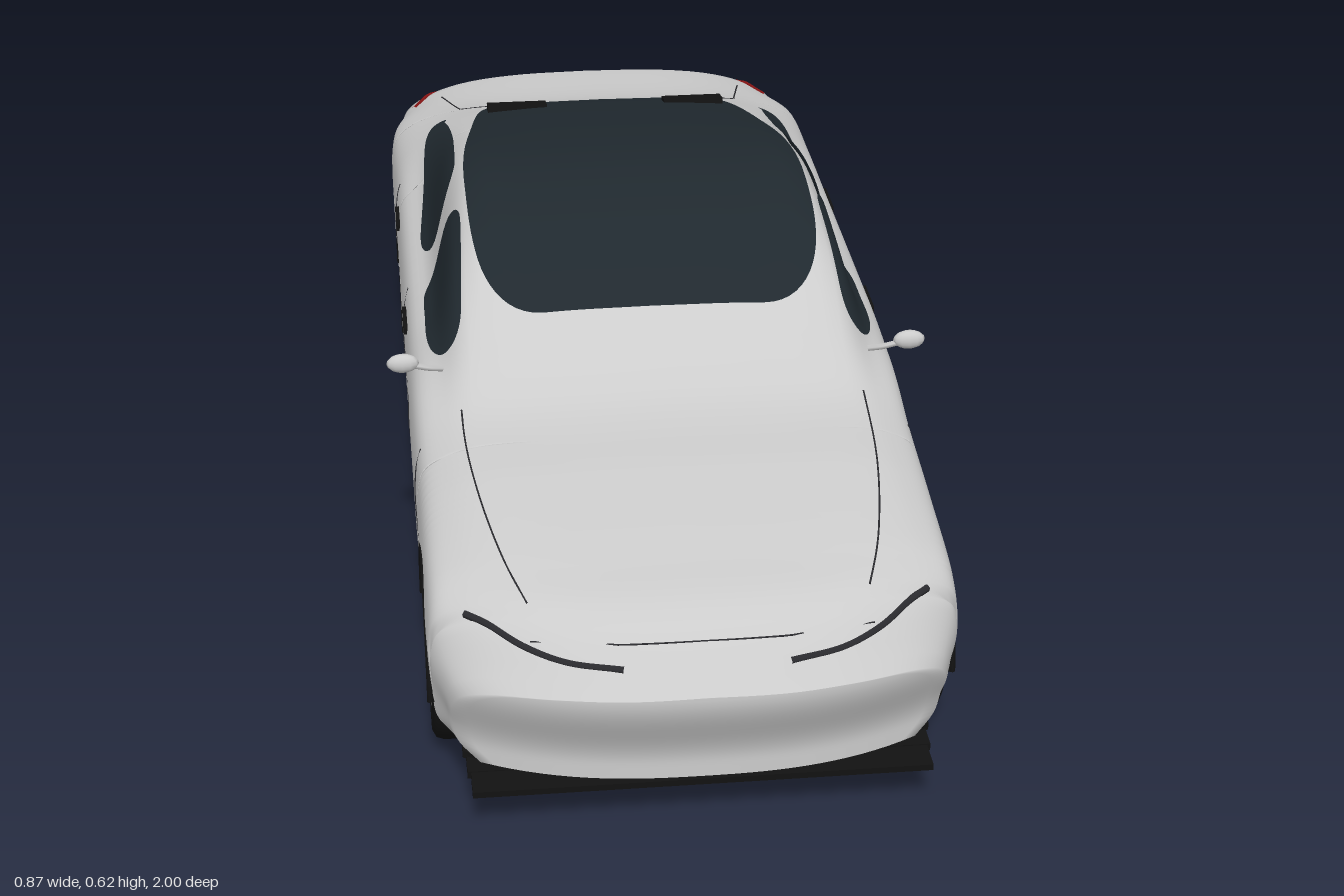
import * as THREE from 'three';
import { mergeGeometries, mergeVertices } from 'three/addons/utils/BufferGeometryUtils.js';

const paint = (color, side = THREE.FrontSide) => new THREE.MeshStandardMaterial({ color, side });
const BODY = paint(0xcccccc, THREE.DoubleSide), GLASS = paint(0x20292f, THREE.DoubleSide);
const BLACK = paint(0x121212, THREE.DoubleSide), DARK = paint(0x2c2c30), RED = paint(0x8a1515);
const RIM = paint(0x77777a), RIM_BACK = paint(0x4a4a4e);
const V = (x, y, z) => new THREE.Vector3(x, y, z);
const { smoothstep: smooth, clamp, lerp } = THREE.MathUtils;
const AXLES = [0.65, -0.58], HUB = 0.145, ARCH = 0.154, SILL = 0.085;

// Body stations: z, half width, side y, shoulder y, belt y, roof edge x, roof edge y, centre y
const STATIONS = [
  [-1, .375, .35, .38, .40, .26, .415, .428],
  [-.8, .397, .365, .405, .43, .27, .445, .452],
  [-.6, .398, .365, .415, .455, .285, .495, .515],
  [-.4, .398, .36, .415, .45, .285, .545, .565],
  [-.2, .398, .36, .415, .45, .29, .59, .605],
  [-.05, .398, .36, .415, .45, .29, .602, .616],
  [.1, .398, .36, .415, .45, .295, .575, .592],
  [.2, .398, .36, .41, .45, .30, .53, .547],
  [.3, .398, .35, .40, .43, .30, .47, .485],
  [.42, .397, .32, .375, .40, .30, .415, .425],
  [.6, .396, .30, .352, .378, .29, .393, .40],
  [.8, .395, .27, .32, .342, .27, .358, .366],
  [.92, .39, .24, .28, .305, .25, .325, .335],
  [1, .365, .19, .22, .24, .22, .25, .255]];

// Smooth blend of the station values at s
function station(s) {
  const T = STATIONS, n = T.length - 1;
  let i = 0;
  while (i < n - 1 && s > T[i + 1][0]) i++;
  const h = T[i + 1][0] - T[i][0], t = (s - T[i][0]) / h;
  const slope = (k, c) => {
    const a = T[Math.max(k - 1, 0)], b = T[Math.min(k + 1, n)];
    return (b[c] - a[c]) / (b[0] - a[0]);
  };
  return T[i].map((a, c) => {
    const b = T[i + 1][c], m0 = slope(i, c) * h, m1 = slope(i + 1, c) * h;
    return a + m0 * t + (3 * (b - a) - 2 * m0 - m1) * t * t + (2 * (a - b) + m0 + m1) * t ** 3;
  });
}

// Half cross-section from sill to roof centre
const cache = new Map();
function section(s) {
  if (!cache.has(s)) {
    const [, w, ya, by, cy, dx, dy, top] = station(s);
    const pts = [V(w - .04, SILL, 0), V(w - .008, .115, 0), V(w - .002, (.115 + ya) / 2, 0), V(w, ya, 0),
      V(w - .012, by, 0), V(w - .05, cy, 0), V(dx, dy, 0), V(dx * .55, top - .003, 0), V(0, top, 0)];
    cache.set(s, new THREE.CatmullRomCurve3(pts).getPoints(96));
  }
  return cache.get(s);
}
const indexAt = (p, test) => Math.max(1, p.findIndex(test));
function xAt(s, y) {
  const p = section(s), i = indexAt(p, q => q.y >= y), a = p[i - 1], b = p[i];
  return lerp(a.x, b.x, clamp((y - a.y) / (b.y - a.y), 0, 1));
}
function yAt(s, x) {
  const p = section(s), ax = Math.abs(x), i = indexAt(p, (q, k) => k > 48 && q.x <= ax + 1e-6);
  const a = p[i - 1], b = p[i];
  return lerp(a.y, b.y, clamp((ax - a.x) / (b.x - a.x), 0, 1));
}

// Bows the nose and tail in plan and leans them in profile
function warp(x, y, s) {
  const u = Math.abs(x) / .39;
  const nose = .11 * u ** 2.6 + .05 * smooth(.25 - y, 0, .14);
  const tail = .07 * u ** 4 + .1 * Math.max(0, .43 - y);
  return V(x, y, s - smooth(s, .75, 1) * nose + smooth(-s, .75, 1) * tail);
}
// First surface point met from the nose (dir 1) or tail (dir -1)
function endPoint(x, y, dir) {
  let s = 1;
  while (s > .7 && (Math.abs(x) > station(s * dir)[1] || yAt(s * dir, x) < y)) s -= .004;
  return warp(x, y, s * dir);
}

function grid(rows, cols, fn) {
  const pos = [], idx = [];
  for (let i = 0; i <= rows; i++) for (let j = 0; j <= cols; j++) pos.push(...fn(i, j).toArray());
  for (let i = 0; i < rows; i++) for (let j = 0; j < cols; j++) {
    const a = i * (cols + 1) + j, b = a + cols + 1;
    idx.push(a, a + 1, b, a + 1, b + 1, b);
  }
  const g = new THREE.BufferGeometry();
  g.setAttribute('position', new THREE.Float32BufferAttribute(pos, 3));
  g.setIndex(idx);
  g.computeVertexNormals();
  return g;
}

function bodyShell() {
  const N = 36, list = [];
  for (let i = 0; i <= 110; i++) list.push(-1 + i / 55);
  for (const a of AXLES) for (let k = 0; k <= 32; k++) list.push(a + ARCH * Math.cos(k * Math.PI / 32));
  list.sort((a, b) => a - b);
  // Each half section starts at the sill or at the wheel arch
  const halves = list.map(s => {
    const p = section(s), z = warp(p[20].x, .15, s).z;
    let y0 = SILL;
    for (const a of AXLES) if (Math.abs(z - a) < ARCH) y0 = Math.max(y0, HUB + Math.sqrt(ARCH ** 2 - (z - a) ** 2));
    const i = indexAt(p, q => q.y >= y0), t0 = i - 1 + (y0 - p[i - 1].y) / (p[i].y - p[i - 1].y);
    return Array.from({ length: N + 1 }, (_, j) => {
      const t = lerp(t0, 96, j / N), k = Math.min(95, Math.floor(t));
      return p[k].clone().lerp(p[k + 1], t - k);
    });
  });
  const skin = grid(list.length - 1, 2 * N, (i, j) => {
    const q = halves[i][j <= N ? j : 2 * N - j];
    return warp(j <= N ? q.x : -q.x, q.y, list[i]);
  });
  const cap = (half, dir) => grid(N, 30, (i, k) => warp(half[i].x * (k / 15 - 1) * dir, half[i].y, dir));
  const all = mergeGeometries([skin, cap(halves.at(-1), 1), cap(halves[0], -1)]);
  all.deleteAttribute('normal');
  const g = mergeVertices(all, 1e-5);
  g.computeVertexNormals();
  return g;
}

export function createModel() {
  const car = new THREE.Group();
  const add = (name, geo, mat, x = 0, y = 0, z = 0, parent = car) => {
    const m = new THREE.Mesh(geo, mat);
    m.name = name;
    m.position.set(x, y, z);
    parent.add(m);
    return m;
  };
  const box = (name, w, h, d, mat, x, y, z) => add(name, new THREE.BoxGeometry(w, h, d), mat, x, y, z);
  const line = (name, pts, r, mat) =>
    add(name, new THREE.TubeGeometry(new THREE.CatmullRomCurve3(pts), 32, r, 5), mat);
  const span = (n, fn) => Array.from({ length: n + 1 }, (_, i) => fn(i / n));

  add('body', bodyShell(), BODY);

  // Floor following the sill outline, with a tray and splitter below it
  const outline = [...span(20, t => warp(lerp(-.35, .35, t), SILL, .99)), ...span(20, t => warp(lerp(.35, -.35, t), SILL, -.99))];
  const floor = new THREE.ExtrudeGeometry(new THREE.Shape(outline.map(p => new THREE.Vector2(p.x, p.z))), { depth: .012, bevelEnabled: false });
  add('floor', floor.rotateX(Math.PI / 2), BLACK, 0, .09, 0);
  box('underTray', .69, .012, 1.74, BLACK, 0, .076, .03);
  box('frontSplitter', .68, .01, .06, BLACK, 0, .075, .92);

  // One glass panel for windscreen, roof and rear window
  add('roofGlass', grid(48, 32, (i, j) => {
    const u = -Math.cos(i * Math.PI / 48), z = -.215 + .475 * u;
    const w = (.288 - .045 * smooth(-z, .05, .65)) * (.62 + .38 * (1 - Math.abs(u) ** 7) ** .45);
    const x = w * (1 - j / 16);
    return V(x, yAt(z, x) + .005, z);
  }), GLASS);

  for (const sx of [1, -1]) {
    // Side windows
    for (const [name, z0, z1] of [['rearSideWindow', -.63, -.085], ['frontSideWindow', -.015, .275]])
      add(name, grid(30, 12, (i, j) => {
        const u = -Math.cos(i * Math.PI / 30), z = (z0 + z1) / 2 + u * (z1 - z0) / 2;
        const lo = .437 + .035 * smooth(-z, .1, .65), hi = Math.max(station(z)[6] - .002, lo + .02);
        const r = (1 - Math.abs(u) ** 8) ** .45, y = (lo + hi) / 2 + (hi - lo) / 2 * r * (j / 6 - 1);
        return V(sx * (xAt(z, y) + .005), y + .001, z);
      }), GLASS);

    // Shut lines, handles, lamps, mirror
    const side = (z, y) => V(sx * xAt(z, y), y, z), top = (z, x) => warp(sx * x, yAt(z, x), z);
    for (const [za, ya, zb, yb] of [[.435, .37, .465, .13], [-.065, .41, -.03, .13], [-.51, .41, -.485, .31]])
      line('doorSeam', span(8, t => side(lerp(za, zb, t), lerp(ya, yb, t))), .0015, DARK);
    line('hoodSeam', span(12, t => top(lerp(.4, .88, t), .32 - .07 * t * t)), .0015, DARK);
    line('trunkSeam', span(8, t => top(lerp(-.74, -.92, t), .265 + .03 * t)), .0015, DARK);
    for (const z of [.01, -.41]) box('doorHandle', .012, .011, .085, BLACK, sx * xAt(z, .385), .385, z);
    const lamp = [[.34, .32], [.31, .317], [.26, .302], [.2, .29], [.12, .286]];
    line('headlight', lamp.map(([x, y]) => endPoint(sx * x, y, 1)), .006, DARK);
    line('tailLightEnd', span(4, t => endPoint(sx * lerp(.29, .35, t), .402, -1)), .005, RED);
    add('mirror', new THREE.SphereGeometry(1, 12, 8), BODY, sx * .408, .46, .315).scale.set(.026, .016, .012);
    line('mirrorStalk', [V(sx * .345, .44, .3), V(sx * .366, .447, .31), V(sx * .39, .455, .315)], .005, BODY);
    box('rearVent', .11, .012, .045, BLACK, sx * .165, yAt(-.59, .165) + .008, -.59).rotation.x = -.22;
    add('rearReflector', new THREE.SphereGeometry(.01, 10, 8), RED, sx * .235, .11, -.965);
  }
  line('tailLight', span(20, t => endPoint(lerp(-.29, .29, t), .402, -1)), .003, RED);
  line('trunkFrontSeam', span(16, t => top0(-.74, lerp(-.265, .265, t))), .0015, DARK);
  line('hoodFrontSeam', span(16, t => { const x = lerp(-.25, .25, t); return endPoint(x, .315 - .1 * x * x, 1); }), .0015, DARK);

  // Rear diffuser
  box('diffuserBar', .5, .01, .03, BLACK, 0, .105, -.955);
  box('diffuserTopBar', .3, .012, .02, BLACK, 0, .148, -.963);
  for (let i = -3; i <= 3; i++) box('diffuserFin', .008, .045, .08, BLACK, i * .076, .105, -.935);

  // Wheel pieces, turned to lie along x
  const across = g => g.rotateZ(-Math.PI / 2);
  const profile = [[.1, -.05], [.13, -.053], [.141, -.047], [.145, -.035], [.145, .035], [.141, .047], [.13, .053], [.108, .05], [.106, .02]];
  const tyre = across(new THREE.LatheGeometry(profile.map(p => new THREE.Vector2(...p)), 48));
  const parts = [new THREE.TorusGeometry(.104, .005, 6, 48).rotateY(Math.PI / 2).translate(.047, 0, 0),
    across(new THREE.CylinderGeometry(.02, .024, .02, 20)).translate(.036, 0, 0)];
  for (let i = 0; i < 20; i++)
    parts.push(new THREE.BoxGeometry(.01, .085, .006).translate(.038, .062, 0).rotateX(i * Math.PI / 10));
  const rim = mergeGeometries(parts);
  const disc = across(new THREE.CylinderGeometry(.104, .104, .07, 40));
  // Upper half linings of the wheel arch
  const well = new THREE.CylinderGeometry(ARCH + .002, ARCH + .002, .11, 40, 1, true, 0, Math.PI).rotateZ(Math.PI / 2);
  const wellBack = new THREE.CircleGeometry(ARCH, 40, 0, Math.PI).rotateY(Math.PI / 2);
  const trim = new THREE.TorusGeometry(ARCH, .005, 6, 40, Math.PI).rotateY(Math.PI / 2);
  for (const z of AXLES) for (const sx of [1, -1]) {
    const wheel = new THREE.Group();
    wheel.name = z > 0 ? 'frontWheel' : 'rearWheel';
    wheel.position.set(sx * .338, HUB, z);
    wheel.rotation.y = sx > 0 ? 0 : Math.PI;
    car.add(wheel);
    add('tyre', tyre, BLACK, 0, 0, 0, wheel);
    add('rim', rim, RIM, 0, 0, 0, wheel);
    add('rimBack', disc, RIM_BACK, -.008, 0, 0, wheel);
    add('wheelWell', well, BLACK, -.003, 0, 0, wheel);
    add('wellBack', wellBack, BLACK, -.057, 0, 0, wheel);
    add('archTrim', trim, BLACK, .056, 0, 0, wheel);
  }
  return car;
}

// Point on the upper surface away from the ends
function top0(z, x) {
  return V(x, yAt(z, x), z);
}
